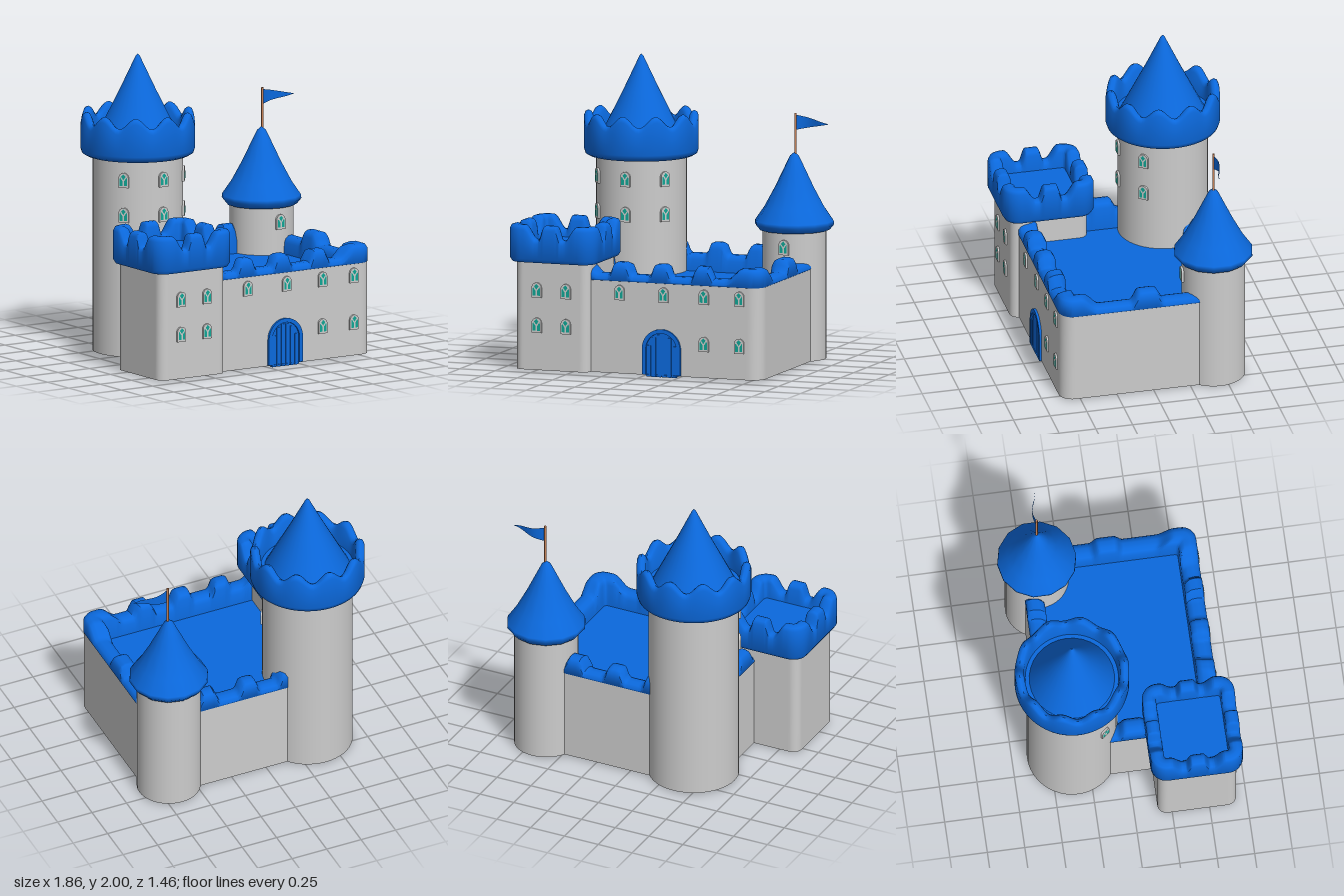
import * as THREE from 'three';
import { toCreasedNormals } from 'three/addons/utils/BufferGeometryUtils.js';

const paint = (name, color) => {
  const m = new THREE.MeshStandardMaterial({ color, side: THREE.DoubleSide });
  m.name = name;
  return m;
};

// Closed outline of a rounded rectangle, grown outward by o
const rectLoop = (cx, cz, hx, hz, r) => (o) => {
  const rr = Math.max(r + o, 0.02), ax = hx + o - rr, az = hz + o - rr, pts = [];
  const corner = (q, t) => {
    const a = (q + t) * Math.PI / 2;
    const sx = q % 4 === 0 || q % 4 === 3 ? 1 : -1, sz = q % 4 < 2 ? 1 : -1;
    return [cx + sx * ax + rr * Math.cos(a), cz + sz * az + rr * Math.sin(a)];
  };
  for (let q = 0; q < 4; q++) {
    for (let j = 0; j <= 8; j++) pts.push(corner(q, j / 8));
    const a = corner(q, 1), b = corner(q + 1, 0);
    for (let j = 1; j < 64; j++) pts.push([a[0] + (b[0] - a[0]) * j / 64, a[1] + (b[1] - a[1]) * j / 64]);
  }
  return pts;
};

// Closed circular outline
const roundLoop = (cx, cz, r, n) => (o) => Array.from({ length: n }, (_, i) => {
  const a = i / n * Math.PI * 2;
  return [cx + (r + o) * Math.cos(a), cz + (r + o) * Math.sin(a)];
});

// Sweep a profile of [offset, y] round an outline; the top height varies with position
function sweep(loop, profile, top = () => 0) {
  const base = loop(0), n = base.length;
  const heights = base.map(([x, z]) => top(x, z));
  const rows = profile(0).length, pos = [], idx = [];
  for (let k = 0; k < rows; k++) {
    const ring = loop(profile(0)[k][0]);
    ring.forEach(([x, z], i) => pos.push(x, profile(heights[i])[k][1], z));
  }
  for (let k = 0; k < rows - 1; k++) for (let i = 0; i < n; i++) {
    const a = k * n + i, b = k * n + (i + 1) % n;
    idx.push(a, a + n, b, b, a + n, b + n);
  }
  const g = new THREE.BufferGeometry();
  g.setAttribute('position', new THREE.Float32BufferAttribute(pos, 3));
  g.setIndex(idx);
  return toCreasedNormals(g, 0.9);
}

// Rounded merlons at [x, z, halfWidth] rising from low to high
const merlons = (list, low, high) => (x, z) => {
  let best = 0;
  for (const [mx, mz, w] of list) {
    const d = Math.hypot(x - mx, z - mz);
    best = Math.max(best, 1 - THREE.MathUtils.smoothstep(d, w * 0.6, w * 1.25));
  }
  return low + (high - low) * best;
};

// Arched doorway outline standing on y0
function arch(half, y0, spring, Type = THREE.Shape) {
  const s = new Type();
  s.moveTo(-half, y0);
  s.lineTo(half, y0);
  s.lineTo(half, spring);
  s.absarc(0, spring, half, 0, Math.PI, false);
  s.lineTo(-half, y0);
  return s;
}

const poly = (pts) => new THREE.Shape(pts.map(([x, y]) => new THREE.Vector2(x, y)));
const extrude = (shape, depth) => new THREE.ExtrudeGeometry(shape, { depth, bevelEnabled: false, curveSegments: 16 });

export function createModel() {
  const root = new THREE.Group();
  root.name = 'castle';
  const stone = paint('stone', 0xcccccc), blue = paint('blue', 0x0b69dd);
  const glass = paint('teal glass', 0x10a594), wood = paint('pole wood', 0xc98257);
  const add = (name, geo, mat, x = 0, y = 0, z = 0, parent = root) => {
    const m = new THREE.Mesh(geo, mat);
    m.name = name;
    m.position.set(x, y, z);
    parent.add(m);
    return m;
  };

  // Main hall: walls, battlement and sunken roof
  const hall = rectLoop(0.13, 0.045, 0.7, 0.585, 0.09);
  add('hallWalls', sweep(hall, () => [[0, 0.01], [0, 0.63]]), stone);
  const hallTops = [[0.8, 0.6, 0.18], [0.8, -0.51, 0.18], [-0.54, 0.6, 0.18], [-0.54, -0.51, 0.18],
    [0.83, 0.04, 0.09], [-0.57, 0.04, 0.09]];
  for (const x of [-0.165, 0.12, 0.415]) hallTops.push([x, 0.63, 0.065], [x, -0.54, 0.065]);
  add('hallBattlement', sweep(hall, (h) => [[0, 0.625], [0.004, 0.63], [0.004, h - 0.035], [-0.012, h - 0.01],
    [-0.04, h], [-0.08, h], [-0.105, h - 0.012], [-0.12, h - 0.04], [-0.125, 0.55]],
  merlons(hallTops, 0.67, 0.748)), blue);
  add('hallRoof', new THREE.BoxGeometry(1.17, 0.01, 0.94), blue, 0.13, 0.55, 0.045);

  // Square tower
  const sx = -0.628, sz = 0.42, sh = 0.262;
  const square = rectLoop(sx, sz, sh, sh, 0.06);
  add('squareTowerWalls', sweep(square, () => [[0, 0.01], [0, 0.735]]), stone);
  const squareTops = [];
  for (const i of [-1, 0, 1]) for (const j of [-1, 0, 1]) {
    if (i || j) squareTops.push([sx + i * sh, sz + j * sh, i && j ? 0.13 : 0.065]);
  }
  add('squareTowerBattlement', sweep(square, (h) => [[0, 0.728], [0.03, 0.73], [0.046, 0.755], [0.046, h - 0.03],
    [0.035, h - 0.008], [0.01, h], [-0.015, h], [-0.035, h - 0.012], [-0.045, h - 0.035], [-0.05, 0.83]],
  merlons(squareTops, 0.885, 0.978)), blue);
  add('squareTowerRoof', new THREE.BoxGeometry(0.45, 0.01, 0.45), blue, sx, 0.83, sz);

  // Great round tower with scalloped crown and cone roof
  const bx = -0.38, bz = -0.35;
  add('greatTowerWalls', new THREE.CylinderGeometry(0.3, 0.3, 1.33, 48, 1, true), stone, bx, 0.675, bz);
  add('greatTowerCrown', sweep(roundLoop(bx, bz, 0.3, 120), (h) => [[0, 1.325], [0.045, 1.328], [0.07, 1.342],
    [0.079, 1.37], [0.079, h - 0.035], [0.07, h - 0.01], [0.05, h], [0.03, h - 0.01], [0.018, h - 0.035], [0.008, 1.43]],
  (x, z) => 1.588 + 0.037 * Math.cos(10 * Math.atan2(x - bx, z - bz))), blue);
  add('greatTowerFloor', new THREE.CylinderGeometry(0.31, 0.31, 0.01, 48), blue, bx, 1.43, bz);
  const lathe = (pts, n) => new THREE.LatheGeometry(pts.map(([r, y]) => new THREE.Vector2(r, y)), n);
  add('greatTowerRoof', lathe([[0.285, 1.43], [0.21, 1.58], [0.12, 1.76], [0.03, 1.95], [0.014, 1.985], [0, 2]], 32), blue, bx, 0, bz);

  // Small round tower with flared roof, pole and flag
  const tx = 0.667, tz = -0.44;
  add('smallTowerWalls', new THREE.CylinderGeometry(0.212, 0.212, 0.88, 40, 1, true), stone, tx, 0.45, tz);
  add('smallTowerRoof', lathe([[0.205, 0.868], [0.235, 0.87], [0.264, 0.905], [0.262, 0.93], [0.2, 1.02], [0.13, 1.15],
    [0.08, 1.255], [0.03, 1.36], [0, 1.385]], 14), blue, tx, 0, tz);
  add('flagPole', new THREE.CylinderGeometry(0.008, 0.008, 0.28, 12), wood, 0.674, 1.505, tz);
  const flag = new THREE.PlaneGeometry(1, 1, 14, 1), fp = flag.attributes.position;
  for (let i = 0; i < fp.count; i++) {
    const u = fp.getX(i) + 0.5;
    fp.setXYZ(i, 0.678 + 0.24 * u, 1.583 + fp.getY(i) * 0.1 * (1 - u), tz - 0.018 * Math.sin(u * 5.2));
  }
  flag.computeVertexNormals();
  add('flag', flag, blue);

  // Arched windows with three panes
  const frameGeo = extrude(arch(0.034, -0.05, 0.016), 0.022);
  const left = [[-0.025, -0.036], [-0.006, -0.036], [-0.006, -0.004], [-0.022, 0.02], [-0.025, 0.012]];
  const paneGeo = new THREE.ShapeGeometry([poly(left), poly(left.map(([x, y]) => [-x, y]).reverse()),
    poly([[0, 0.004], [0.016, 0.026], [0, 0.042], [-0.016, 0.026]])]);
  const addWindow = (x, y, z, turn = 0) => {
    const w = new THREE.Group();
    w.name = 'window';
    w.position.set(x, y, z);
    w.rotation.y = turn;
    add('windowFrame', frameGeo, stone, 0, 0, -0.01, w);
    add('windowPanes', paneGeo, glass, 0, 0, 0.014, w);
    root.add(w);
  };
  for (const x of [-0.165, 0.145, 0.43, 0.68]) addWindow(x, 0.55, 0.63);
  for (const x of [0.43, 0.68]) addWindow(x, 0.235, 0.63);
  for (const x of [-0.73, -0.525]) for (const y of [0.545, 0.31]) addWindow(x, y, sz + sh);
  for (const a of [-0.9, 0, 0.9]) for (const y of [1.2, 0.965]) {
    addWindow(bx + 0.3 * Math.sin(a), y, bz + 0.3 * Math.cos(a), a);
  }
  addWindow(tx + 0.005, 0.775, tz + 0.212);

  // Gate: arched frame with planks
  const gate = new THREE.Group();
  gate.name = 'gate';
  gate.position.set(0.132, 0, 0.6);
  root.add(gate);
  const frame = arch(0.135, 0.015, 0.185);
  frame.holes.push(arch(0.108, 0.016, 0.185, THREE.Path));
  add('gateFrame', extrude(frame, 0.046), blue, 0, 0, 0, gate);
  add('gateBacking', extrude(arch(0.11, 0.005, 0.185), 0.034), blue, 0, 0, 0, gate);
  for (let i = 0; i < 6; i++) {
    const x = -0.09 + i * 0.036, edge = Math.abs(x) + 0.014;
    const h = 0.18 + Math.sqrt(Math.max(0, 0.108 ** 2 - edge ** 2));
    add('gatePlank', new THREE.BoxGeometry(0.029, h, 0.02), blue, x, h / 2, 0.03, gate);
  }
  return root;
}
